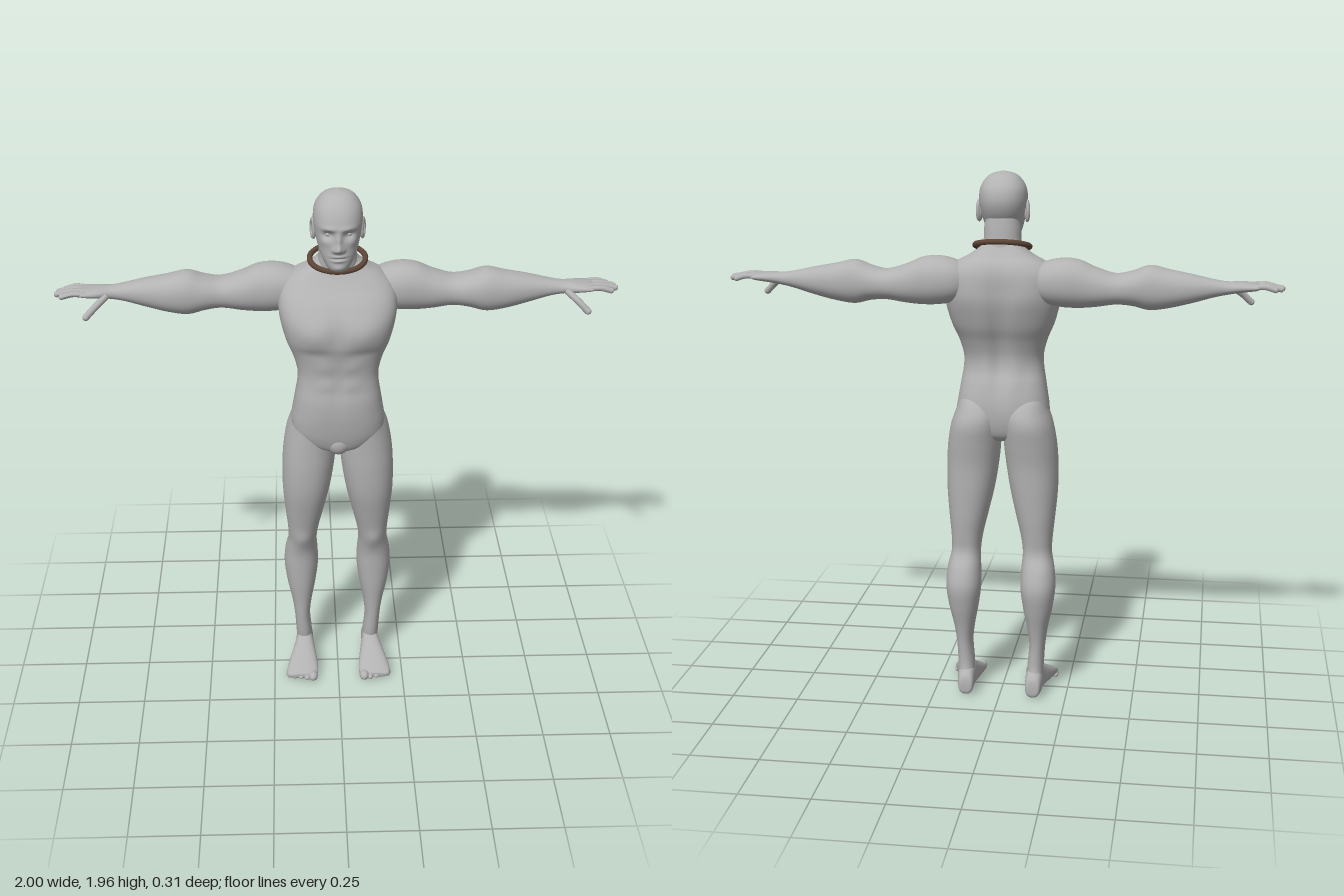
import * as THREE from 'three';

const skin = new THREE.MeshStandardMaterial({ color: 0xb2b2b2 });
skin.name = 'grey body';
const leather = new THREE.MeshStandardMaterial({ color: 0x5e4638 });
leather.name = 'brown collar';

// Axis maps: a section runs along s, with its outline in u and v
const alongX = (s, u, v) => [s, v, u];
const alongY = (s, u, v) => [u, s, v];
const alongZ = (s, u, v) => [v, u, s];

const cubic = (a, b, c, d, t) =>
  b + 0.5 * t * (c - a + t * (2 * a - 5 * b + 4 * c - d + t * (3 * (b - c) + d - a)));

// Smooth loft through rows of [s, uMin, uMax, vMin, vMax]
function loft(rows, axis, { power = 2.2, segments = 40, steps = 6, bumps = [] } = {}) {
  const pos = [], index = [];
  const count = (rows.length - 1) * steps;
  for (let i = 0; i <= count; i++) {
    const k = Math.min(Math.floor(i / steps), rows.length - 2), t = i / steps - k;
    const row = n => rows[Math.max(0, Math.min(rows.length - 1, n))];
    const [s, u0, u1, v0, v1] = rows[0].map((_, c) =>
      cubic(row(k - 1)[c], row(k)[c], row(k + 1)[c], row(k + 2)[c], t));
    for (let j = 0; j < segments; j++) {
      const a = j / segments * Math.PI * 2, cos = Math.cos(a), sin = Math.sin(a);
      const u = Math.sign(cos) * Math.abs(cos) ** (2 / power);
      const v = Math.sign(sin) * Math.abs(sin) ** (2 / power);
      pos.push(...axis(s, (u0 + u1 + u * (u1 - u0)) / 2, (v0 + v1 + v * (v1 - v0)) / 2));
      if (i < count) {
        const p = i * segments + j, q = i * segments + (j + 1) % segments;
        index.push(p, p + segments, q, q, p + segments, q + segments);
      }
    }
  }
  // End caps
  const first = rows[0], last = rows[rows.length - 1];
  const base = pos.length / 3, top = count * segments;
  for (const r of [first, last]) pos.push(...axis(r[0], (r[1] + r[2]) / 2, (r[3] + r[4]) / 2));
  for (let j = 0; j < segments; j++) {
    const n = (j + 1) % segments;
    index.push(base, j, n, base + 1, top + n, top + j);
  }
  const geo = new THREE.BufferGeometry();
  geo.setAttribute('position', new THREE.Float32BufferAttribute(pos, 3));
  geo.setIndex(index);
  geo.computeVertexNormals();
  // Sculpted bumps: [x, y, side, radiusX, radiusY, amount], mirrored in x
  const p = geo.attributes.position, normal = geo.attributes.normal;
  for (let i = 0; i < p.count; i++) {
    let dz = 0;
    for (const [x, y, side, rx, ry, amount] of bumps) {
      const facing = Math.max(0, side * normal.getZ(i));
      const d = ((Math.abs(p.getX(i)) - x) / rx) ** 2 + ((p.getY(i) - y) / ry) ** 2;
      dz += side * amount * Math.exp(-d) * Math.min(1, facing * 1.5);
    }
    p.setZ(i, p.getZ(i) + dz);
  }
  geo.computeVertexNormals();
  return geo;
}

const symmetric = rows => rows.map(([y, w, back, front]) => [y, -w, w, back, front]);

function mirrored(geo) {
  const copy = geo.clone().scale(-1, 1, 1), idx = copy.index;
  for (let i = 0; i < idx.count; i += 3) {
    const a = idx.getX(i);
    idx.setX(i, idx.getX(i + 1));
    idx.setX(i + 1, a);
  }
  copy.computeVertexNormals();
  return copy;
}

function ball(x, y, z, rx, ry, rz) {
  return new THREE.SphereGeometry(1, 20, 14).scale(rx, ry, rz).translate(x, y, z);
}

// Rounded finger through a few points
function finger(points, radius) {
  const curve = new THREE.CatmullRomCurve3(points.map(p => new THREE.Vector3(...p)));
  const tip = points[points.length - 1];
  return [new THREE.TubeGeometry(curve, 10, radius, 10), ball(...tip, radius, radius, radius)];
}

export function createModel() {
  const model = new THREE.Group();
  const add = (name, geo, material = skin) => {
    const mesh = new THREE.Mesh(geo, material);
    mesh.name = name;
    model.add(mesh);
  };
  const pair = (name, geo) => {
    add('left' + name, geo);
    add('right' + name, mirrored(geo));
  };

  // Torso with chest, belly and back muscles
  add('torso', loft(symmetric([
    [0.98, 0.01, -0.04, 0.06], [0.99, 0.06, -0.07, 0.09], [1.01, 0.13, -0.10, 0.105],
    [1.05, 0.165, -0.115, 0.118], [1.1, 0.17, -0.12, 0.127], [1.15, 0.163, -0.115, 0.132],
    [1.2, 0.155, -0.1, 0.132], [1.25, 0.147, -0.08, 0.125], [1.3, 0.146, -0.08, 0.122],
    [1.36, 0.162, -0.1, 0.128], [1.42, 0.187, -0.128, 0.142], [1.5, 0.207, -0.15, 0.138],
    [1.56, 0.21, -0.152, 0.11], [1.61, 0.195, -0.148, 0.07], [1.645, 0.16, -0.134, 0.045],
    [1.67, 0.115, -0.112, 0.032], [1.7, 0.075, -0.09, 0.02], [1.73, 0.06, -0.07, 0.01],
  ]), alongY, {
    power: 2.6, segments: 72, bumps: [
      [0.09, 1.47, 1, 0.07, 0.05, 0.013], [0, 1.49, 1, 0.014, 0.07, -0.006],
      [0.08, 1.395, 1, 0.07, 0.02, -0.006], [0.045, 1.34, 1, 0.03, 0.025, 0.004],
      [0.045, 1.27, 1, 0.03, 0.025, 0.004], [0, 1.24, 1, 0.01, 0.08, -0.004],
      [0, 1.4, -1, 0.03, 0.2, -0.02], [0.11, 1.54, -1, 0.05, 0.06, 0.005],
      [0.05, 1.24, -1, 0.03, 0.07, 0.007],
    ],
  }));
  add('groin', ball(0, 1.025, 0.085, 0.042, 0.045, 0.034));

  // Neck and collar
  add('neck', loft(symmetric([
    [1.6, 0.075, -0.1, 0.02], [1.68, 0.072, -0.092, 0.04], [1.72, 0.067, -0.084, 0.045],
    [1.76, 0.066, -0.08, 0.05], [1.8, 0.06, -0.075, 0.04],
  ]), alongY));
  const ring = Array.from({ length: 16 }, (_, i) => {
    const a = i / 16 * Math.PI * 2;
    return new THREE.Vector3(0.098 * Math.sin(a), 1.698 - 0.024 * Math.cos(a), -0.025 + 0.074 * Math.cos(a));
  });
  add('collar', new THREE.TubeGeometry(new THREE.CatmullRomCurve3(ring, true), 64, 0.01, 8, true), leather);

  // Head with sculpted face
  add('head', loft(symmetric([
    [1.69, 0.02, 0.04, 0.09], [1.698, 0.035, 0.015, 0.105], [1.715, 0.047, -0.005, 0.113],
    [1.745, 0.061, -0.03, 0.115], [1.78, 0.072, -0.06, 0.114], [1.82, 0.081, -0.086, 0.115],
    [1.86, 0.086, -0.097, 0.115], [1.9, 0.082, -0.09, 0.1], [1.93, 0.066, -0.068, 0.078],
    [1.95, 0.042, -0.038, 0.05], [1.96, 0.004, 0, 0.01],
  ]), alongY, {
    segments: 96, steps: 9, bumps: [
      [0, 1.783, 1, 0.013, 0.014, 0.025], [0, 1.81, 1, 0.01, 0.025, 0.015],
      [0.014, 1.777, 1, 0.008, 0.008, 0.009], [0.035, 1.828, 1, 0.018, 0.014, -0.015],
      [0.032, 1.851, 1, 0.028, 0.009, 0.006], [0.052, 1.8, 1, 0.016, 0.014, 0.004],
      [0, 1.754, 1, 0.022, 0.005, 0.007], [0, 1.739, 1, 0.02, 0.005, 0.007],
      [0, 1.7465, 1, 0.026, 0.003, -0.005], [0, 1.71, 1, 0.022, 0.012, 0.005],
    ],
  }));
  pair('Eye', ball(0.034, 1.828, 0.085, 0.014, 0.01, 0.013));
  const ear = new THREE.TorusGeometry(0.02, 0.007, 8, 24).scale(0.8, 1.5, 1)
    .rotateY(Math.PI / 2 - 0.3).translate(0.086, 1.82, 0.002);
  pair('EarRim', ear);
  pair('Ear', ball(0.082, 1.817, 0.004, 0.008, 0.03, 0.016));

  // Arms
  pair('Arm', loft([
    [0.1, -0.11, 0, 1.53, 1.62], [0.16, -0.145, 0.01, 1.503, 1.652], [0.22, -0.155, 0.016, 1.492, 1.665],
    [0.28, -0.152, 0.012, 1.49, 1.66], [0.34, -0.147, 0.006, 1.495, 1.635], [0.41, -0.14, 0, 1.505, 1.615],
    [0.47, -0.135, 0.01, 1.5, 1.625], [0.53, -0.13, 0.016, 1.486, 1.644], [0.6, -0.125, 0.01, 1.495, 1.63],
    [0.68, -0.115, -0.005, 1.515, 1.615], [0.75, -0.1, -0.018, 1.535, 1.6], [0.8, -0.092, -0.02, 1.546, 1.592],
    [0.85, -0.098, -0.002, 1.554, 1.592], [0.9, -0.102, 0.003, 1.562, 1.588], [0.915, -0.09, -0.01, 1.57, 1.582],
  ], alongX));

  // Fingers and thumb
  const hand = [[-0.09, 0.965, 0.009], [-0.064, 0.985, 0.01], [-0.037, 0.989, 0.011], [-0.009, 0.97, 0.01]];
  hand.forEach(([z, x, r], i) => finger(
    [[0.88, 1.575, z * 0.95], [0.93, 1.579, z], [x, 1.569, z]], r,
  ).forEach((geo, k) => pair((k ? 'FingerTip' : 'Finger') + (i + 1), geo)));
  finger([[0.815, 1.565, -0.02], [0.85, 1.54, 0.012], [0.885, 1.507, 0.03]], 0.012)
    .forEach((geo, k) => pair(k ? 'ThumbTip' : 'Thumb', geo));

  // Legs
  pair('Leg', loft([
    [0.03, 0.1, 0.155, -0.11, -0.03], [0.07, 0.1, 0.16, -0.115, -0.02], [0.12, 0.102, 0.163, -0.106, -0.01],
    [0.2, 0.108, 0.168, -0.108, -0.003], [0.27, 0.1, 0.178, -0.12, 0.002], [0.35, 0.085, 0.195, -0.14, 0.01],
    [0.43, 0.075, 0.205, -0.152, 0.015], [0.5, 0.077, 0.2, -0.135, 0.02], [0.56, 0.08, 0.188, -0.11, 0.035],
    [0.62, 0.072, 0.19, -0.107, 0.05], [0.7, 0.053, 0.198, -0.113, 0.07], [0.8, 0.03, 0.206, -0.118, 0.092],
    [0.9, 0.014, 0.206, -0.122, 0.1], [0.98, 0.006, 0.2, -0.133, 0.1], [1.05, 0.003, 0.187, -0.142, 0.1],
    [1.1, 0.005, 0.17, -0.13, 0.1], [1.15, 0.03, 0.15, -0.095, 0.07], [1.18, 0.06, 0.12, -0.03, 0.03],
  ], alongY, { bumps: [[0.135, 0.585, 1, 0.03, 0.035, 0.008], [0.14, 0.56, -1, 0.03, 0.05, -0.006]] }));

  // Feet and toes
  pair('Foot', loft([
    [-0.133, 0.02, 0.05, 0.112, 0.145], [-0.125, 0.005, 0.08, 0.1, 0.155], [-0.09, 0, 0.11, 0.097, 0.162],
    [-0.04, 0, 0.117, 0.096, 0.164], [0, 0, 0.098, 0.09, 0.175], [0.05, 0.001, 0.072, 0.083, 0.19],
    [0.1, 0, 0.047, 0.08, 0.201], [0.125, 0.003, 0.034, 0.086, 0.198], [0.133, 0.012, 0.025, 0.1, 0.185],
  ], alongZ, { power: 2.4 }));
  for (let i = 0; i < 5; i++) {
    const r = i ? 0.013 - i * 0.0006 : 0.018;
    pair('Toe' + (i + 1), ball(0.1 + i * 0.0235, r, 0.13 - i * 0.007, r, r, 0.025));
  }
  return model;
}
